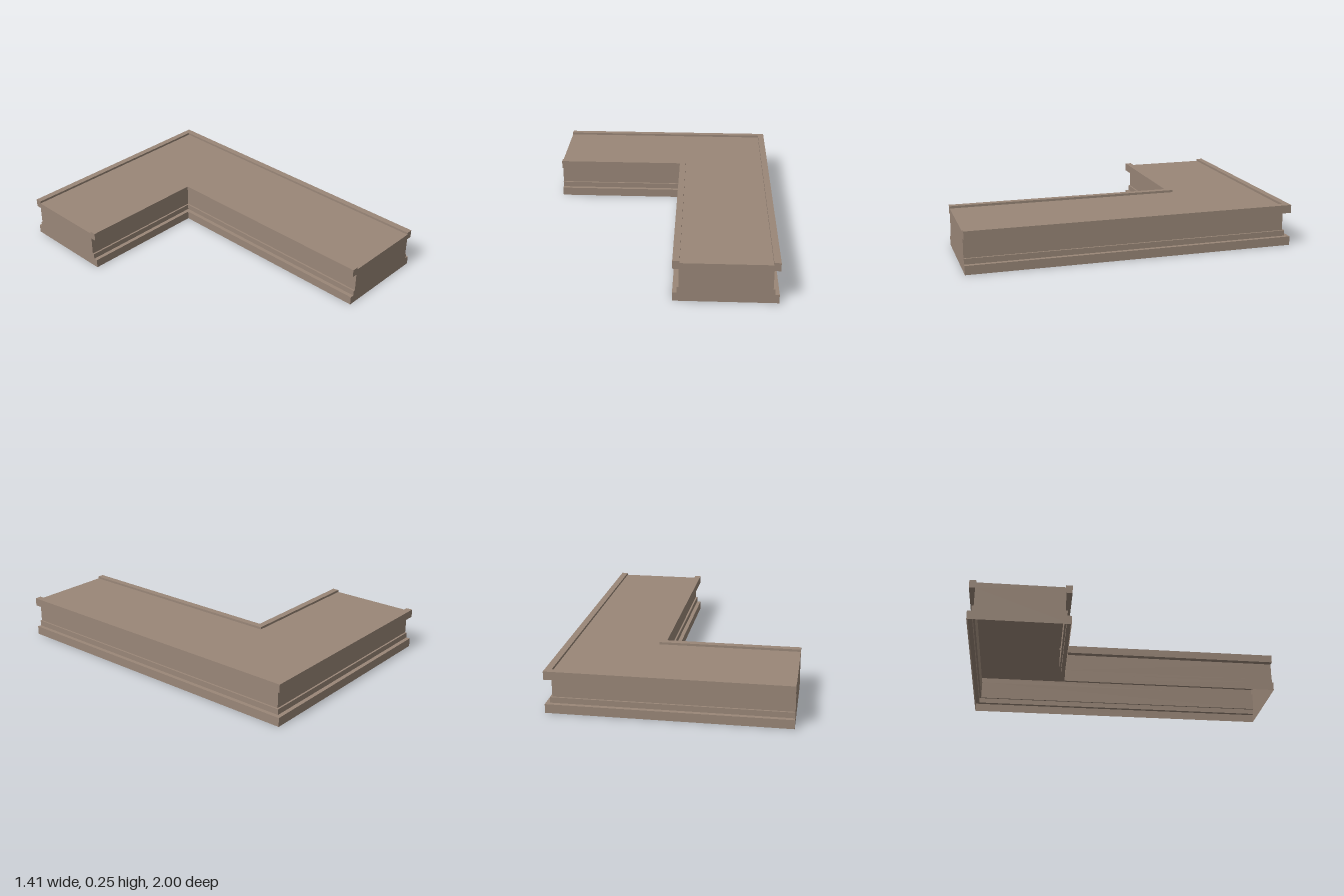
import * as THREE from 'three';

const X = 0.707, WIDTH = 0.6, PANEL_Y = 0.24;

// Moulding section: [inset from the outer edge, height]
const PROFILE = [
  [0, 0], [0, 0.054], [0.025, 0.054], [0.025, 0.088], [0.036, 0.088],
  [0.036, 0.204], [0, 0.204], [0, 0.254], [0.04, 0.254], [0.04, PANEL_Y],
];

// Plan lines of the L, inset by t, as [x, z]
const outerLine = (t) => [[-X, -1 + t], [X - t, -1 + t], [X - t, 1]];
const innerLine = (t) => [[-X, -1 + WIDTH - t], [X - WIDTH + t, -1 + WIDTH - t], [X - WIDTH + t, 1]];

// Sweep the section along a mitred plan line
function mouldingGeometry(line, flip) {
  const positions = [];
  const rows = PROFILE.map(([t, y]) => line(t).map(([x, z]) => [x, y, z]));
  for (let k = 0; k < rows.length - 1; k++) {
    for (let i = 0; i < 2; i++) {
      const quad = [rows[k][i], rows[k][i + 1], rows[k + 1][i + 1], rows[k + 1][i]];
      if (flip) quad.reverse();
      for (const j of [0, 1, 2, 0, 2, 3]) positions.push(...quad[j]);
    }
  }
  const geometry = new THREE.BufferGeometry();
  geometry.setAttribute('position', new THREE.Float32BufferAttribute(positions, 3));
  geometry.computeVertexNormals();
  return geometry;
}

const flatShape = (points) =>
  new THREE.ShapeGeometry(new THREE.Shape(points.map(([a, b]) => new THREE.Vector2(a, b))));

export function createModel() {
  const group = new THREE.Group();
  group.name = 'cornerLedge';
  const stone = new THREE.MeshStandardMaterial({ color: 0x9a8778, side: THREE.DoubleSide });
  stone.name = 'warm stone';

  const add = (name, geometry) => {
    const mesh = new THREE.Mesh(geometry, stone);
    mesh.name = name;
    group.add(mesh);
  };

  // Stepped walls with raised rims; the underside stays open
  add('outerMoulding', mouldingGeometry(outerLine, true));
  add('innerMoulding', mouldingGeometry(innerLine, false));

  // Recessed top between the rims
  const plan = [...outerLine(0.04), ...innerLine(0.04).reverse()].map(([x, z]) => [x, -z]);
  add('topPanel', flatShape(plan).rotateX(-Math.PI / 2).translate(0, PANEL_Y, 0));

  // End caps follow the full section
  const section = [...PROFILE, ...PROFILE.map(([t, y]) => [WIDTH - t, y]).reverse()];
  add('frontEndCap', flatShape(section).translate(X - WIDTH, 0, 1));
  add('sideEndCap', flatShape(section).rotateY(-Math.PI / 2).translate(-X, 0, -1));

  return group;
}
